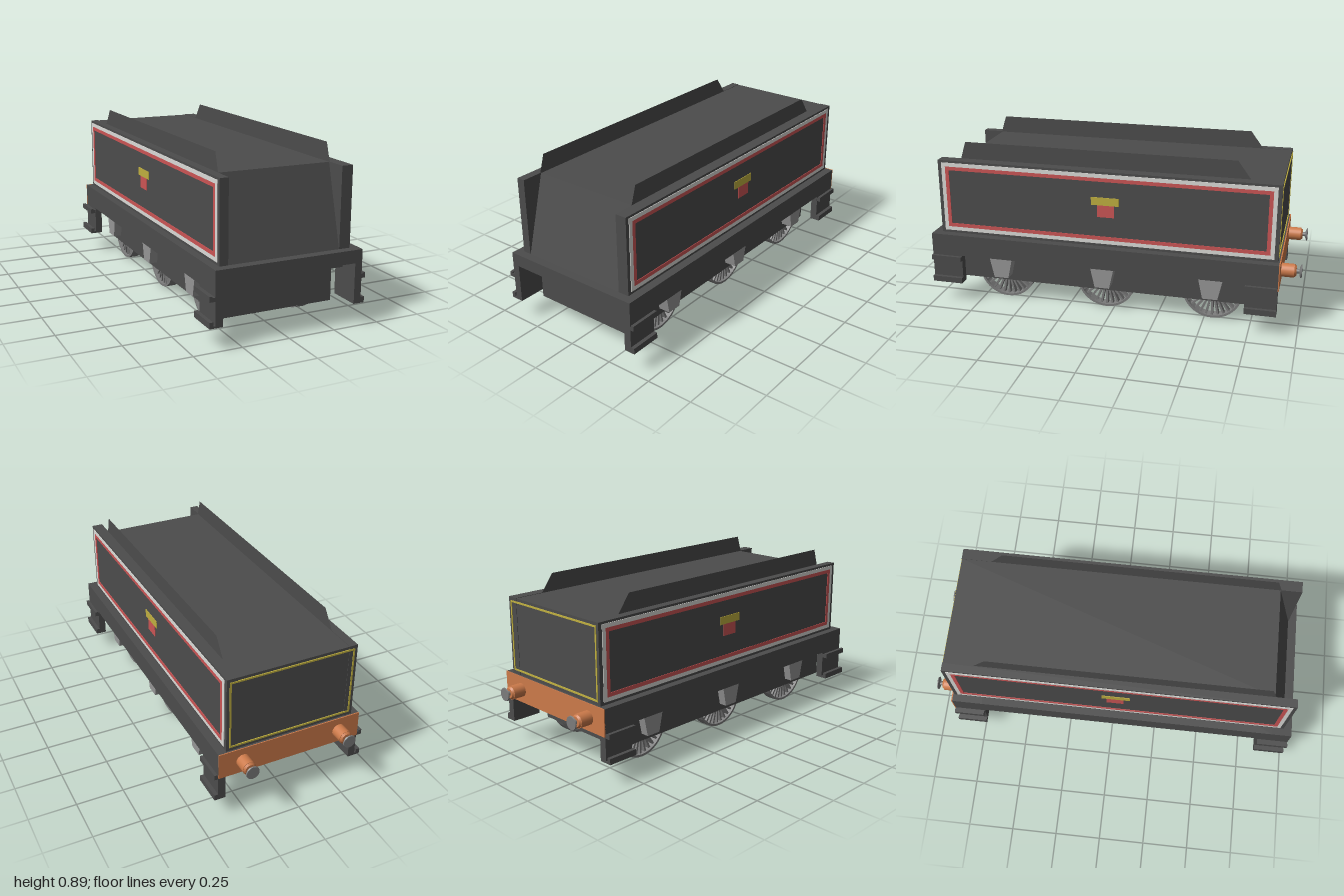
import * as THREE from 'three';

const mat = (name, color) => {
  const m = new THREE.MeshStandardMaterial({ color });
  m.name = name;
  return m;
};

export function createModel() {
  const black = mat('bodyBlack', 0x4c4c4c);
  const sheetBlack = mat('sheetBlack', 0x4c4c4c);
  sheetBlack.side = THREE.DoubleSide;
  const white = mat('liningWhite', 0xdcdcd8);
  const red = mat('liningRed', 0xcc5555);
  const yellow = mat('badgeYellow', 0xc0b040);
  const orange = mat('beamOrange', 0xcc7a4a);
  const steel = mat('wheelSteel', 0x7c7c7c);
  const boxGrey = mat('axleBoxGrey', 0x969696);

  const model = new THREE.Group();
  model.name = 'tender';

  const add = (name, geometry, material, parent = model) => {
    const m = new THREE.Mesh(geometry, material);
    m.name = name;
    parent.add(m);
    return m;
  };
  // Box given by its limits on each axis
  const box = (name, material, [xa, xb], [ya, yb], [za, zb]) => {
    const g = new THREE.BoxGeometry(Math.abs(xb - xa), yb - ya, Math.abs(zb - za));
    g.translate((xa + xb) / 2, (ya + yb) / 2, (za + zb) / 2);
    return add(name, g, material);
  };
  const polygon = (pts) => new THREE.Shape(pts.map(([a, b]) => new THREE.Vector2(a, b)));
  const rect = (a0, a1, b0, b1) => [[a0, b0], [a1, b0], [a1, b1], [a0, b1]];
  // Turns a (z, y) outline into a solid between two x positions
  const acrossX = (shape, xa, xb) => {
    const depth = Math.abs(xb - xa);
    return new THREE.ExtrudeGeometry(shape, { depth, bevelEnabled: false })
      .rotateY(-Math.PI / 2).translate(Math.max(xa, xb), 0, 0);
  };
  const frameShape = (a0, a1, b0, b1, w) => {
    const s = polygon(rect(a0, a1, b0, b1));
    s.holes.push(polygon(rect(a0 + w, a1 - w, b0 + w, b1 - w)));
    return s;
  };

  // x positions of each side: inner tank, tank side, frame edge, step edge
  const sides = [
    { s: -1, inner: -0.305, tank: -0.35, edge: -0.39, step: -0.42 },
    { s: 1, inner: 0.292, tank: 0.352, edge: 0.397, step: 0.417 },
  ];

  // Tank with sloping front
  add('tank', acrossX(polygon([[-0.88, 0.385], [0.955, 0.385], [0.84, 0.8], [-0.88, 0.8]]), -0.305, 0.292), black);

  // Frame: main deck, shallower front beam, deeper rear end
  box('deck', black, [-0.39, 0.397], [0.275, 0.392], [-0.72, 0.893]);
  box('frontBeam', black, [-0.39, 0.397], [0.325, 0.392], [0.893, 1]);
  box('rearDeck', black, [-0.39, 0.397], [0.25, 0.392], [-0.89, -0.72]);
  box('rearBeam', orange, [-0.39, 0.397], [0.25, 0.392], [-0.895, -0.889]);
  box('underframe', black, [-0.305, 0.292], [0.112, 0.325], [-0.72, 0.893]);

  // Yellow lining on the rear of the tank
  add('rearLining', new THREE.ExtrudeGeometry(frameShape(-0.335, 0.337, 0.41, 0.785, 0.009),
    { depth: 0.006, bevelEnabled: false }).translate(0, 0, -0.885), yellow);

  // Spoked wheel lying in the z-y plane
  const wheelRadius = 0.164;
  const makeWheel = (x, z) => {
    const wheel = new THREE.Group();
    wheel.name = 'wheel';
    const rim = new THREE.Shape().absarc(0, 0, wheelRadius, 0, Math.PI * 2);
    rim.holes.push(new THREE.Path().absarc(0, 0, wheelRadius - 0.012, 0, Math.PI * 2, true));
    add('rim', new THREE.ExtrudeGeometry(rim, { depth: 0.055, bevelEnabled: false, curveSegments: 20 })
      .rotateY(-Math.PI / 2).translate(0.0275, 0, 0), steel, wheel);
    add('hub', new THREE.CylinderGeometry(0.035, 0.035, 0.055, 20).rotateZ(Math.PI / 2), steel, wheel);
    const spoke = new THREE.BoxGeometry(0.03, 0.13, 0.011).translate(0, 0.09, 0);
    const count = 30;
    for (let i = 0; i < count; i++) {
      add('spoke', spoke, steel, wheel).rotation.x = (i / count) * Math.PI * 2;
    }
    wheel.position.set(x, wheelRadius, z);
    model.add(wheel);
  };

  for (const { s, inner, tank, edge, step } of sides) {
    // Side tank and raised coal sheet
    box('tankSide', black, [inner, tank], [0.385, 0.802], [-0.882, 0.955]);
    add('coalSheet', new THREE.ShapeGeometry(polygon([[-0.72, 0.8], [0.845, 0.8], [0.815, 0.895], [-0.65, 0.895]]))
      .rotateY(-Math.PI / 2).translate(inner, 0, 0), sheetBlack);

    // Painted lining and badge
    const out = tank + s * 0.003;
    add('whiteLining', acrossX(frameShape(-0.861, 0.935, 0.406, 0.79, 0.021), tank, out), white);
    add('redLining', acrossX(frameShape(-0.84, 0.914, 0.427, 0.769, 0.02), tank, out), red);
    box('badgeTop', yellow, [tank, out], [0.62, 0.663], [-0.05, 0.1]);
    box('badgeBottom', red, [tank, out], [0.555, 0.62], [-0.024, 0.067]);

    // Corner legs with two footsteps each
    for (const [za, zb] of [[0.83, 1], [-0.89, -0.725]]) {
      box('stepLeg', black, [edge - s * 0.039, edge], [0.117, 0.33], [za, zb]);
      box('upperStep', black, [edge, step], [0.245, 0.265], [za, zb]);
      box('upperStepLip', black, [step - s * 0.016, step], [0.25, 0.272], [za, zb]);
      box('lowerStep', black, [edge, step], [0.117, 0.128], [za, zb]);
      box('lowerStepLip', black, [step - s * 0.02, step], [0.12, 0.148], [za, zb]);
    }

    // Axle boxes and wheels
    for (const z of [0.62, 0.045, -0.54]) {
      add('axleBox', acrossX(polygon([[z - 0.04, 0.15], [z + 0.04, 0.15], [z + 0.068, 0.278], [z - 0.068, 0.278]]),
        inner, edge - s * 0.04), boxGrey);
      makeWheel(s * 0.2375, z);
    }

    // Rear bumper: casing, tapered collar, rod and head
    const bumper = new THREE.Group();
    bumper.name = 'bumper';
    const turned = (name, r0, r1, z0, z1, material) => add(name,
      new THREE.CylinderGeometry(r0, r1, z0 - z1, 24).rotateX(Math.PI / 2).translate(0, 0, (z0 + z1) / 2), material, bumper);
    turned('casing', 0.036, 0.036, -0.89, -0.962, orange);
    turned('collar', 0.034, 0.026, -0.962, -0.972, orange);
    turned('rod', 0.012, 0.012, -0.97, -0.992, steel);
    turned('head', 0.02, 0.036, -0.988, -0.994, steel);
    turned('headFace', 0.036, 0.034, -0.994, -1, steel);
    bumper.position.set(s * 0.27 - 0.003, 0.32, 0);
    model.add(bumper);
  }

  return model;
}
